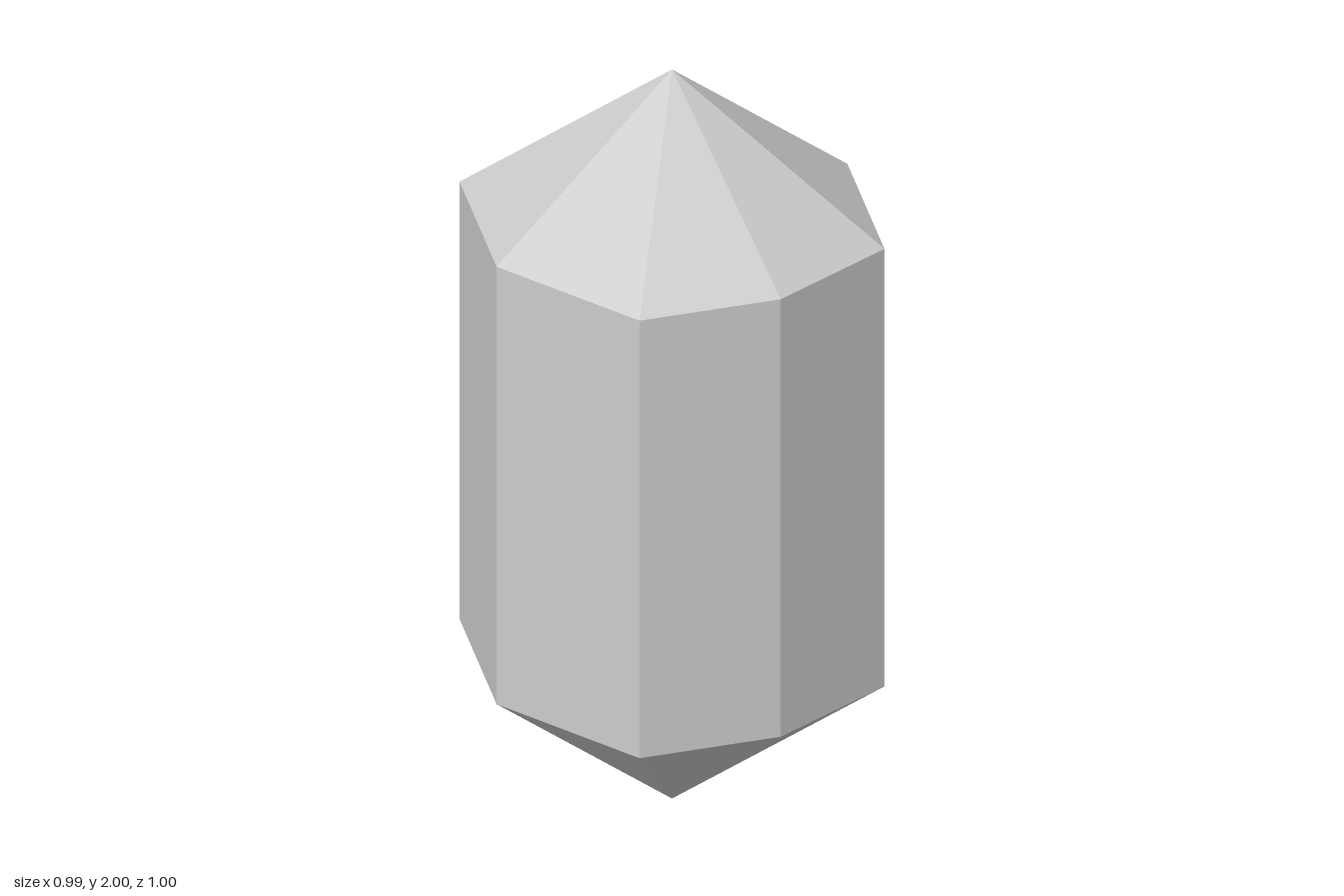
import * as THREE from 'three';

// Eight-sided outline as [x, z], running from the front towards +x
const OUTLINE = [
  [0, 0.5], [0.347, 0.414], [0.497, 0], [0.347, -0.414],
  [0, -0.5], [-0.347, -0.414], [-0.497, 0], [-0.347, 0.414],
];

// Faceted band between two heights; a scale of 0 closes it to a point
function band(y0, scale0, y1, scale1) {
  const positions = [];
  const n = OUTLINE.length;
  const corner = (i, y, s) => [OUTLINE[i % n][0] * s, y, OUTLINE[i % n][1] * s];
  for (let i = 0; i < n; i++) {
    const a = corner(i, y0, scale0), b = corner(i + 1, y0, scale0);
    const c = corner(i + 1, y1, scale1), d = corner(i, y1, scale1);
    if (scale0 > 0) positions.push(...a, ...b, ...c);
    if (scale1 > 0) positions.push(...a, ...c, ...d);
  }
  const geometry = new THREE.BufferGeometry();
  geometry.setAttribute('position', new THREE.Float32BufferAttribute(positions, 3));
  geometry.computeVertexNormals();
  return geometry;
}

export function createModel() {
  const group = new THREE.Group();
  group.name = 'crystal';
  const material = new THREE.MeshStandardMaterial({ color: 0xcccccc });
  material.name = 'pale grey';

  const add = (name, geometry) => {
    const mesh = new THREE.Mesh(geometry, material);
    mesh.name = name;
    group.add(mesh);
  };

  add('lowerPoint', band(0, 0, 0.4, 1));
  add('shaft', band(0.4, 1, 1.6, 1));
  add('upperPoint', band(1.6, 1, 2, 0));
  return group;
}
